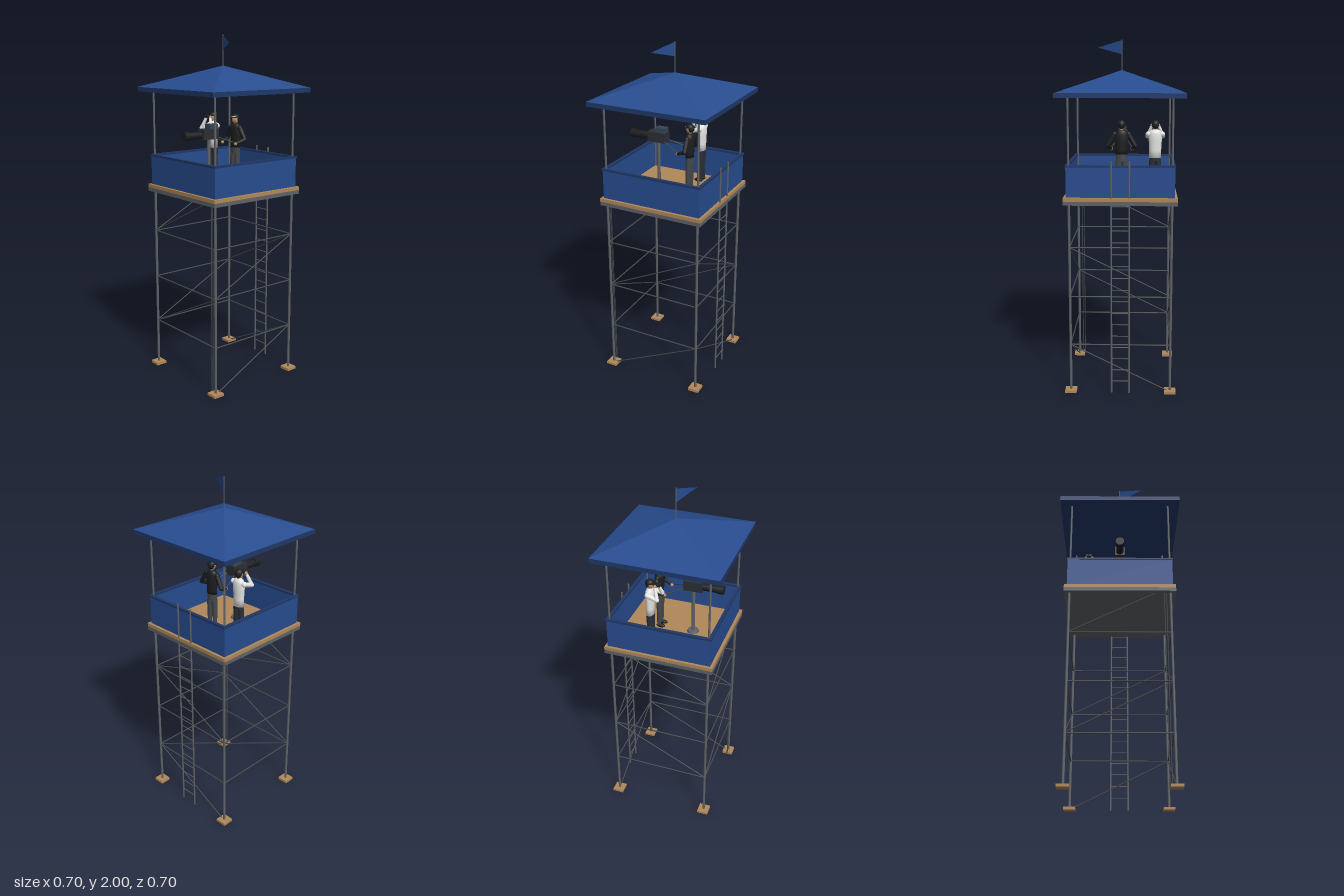
import * as THREE from 'three';

const mat = (name, color) => {
  const m = new THREE.MeshStandardMaterial({ color });
  m.name = name;
  return m;
};

export function createModel() {
  const blue = mat('blue', 0x284c8f), navy = mat('navy', 0x1f3868), wood = mat('wood', 0xb0885a);
  const steel = mat('steel', 0x606366), iron = mat('darkSteel', 0x46494c), black = mat('black', 0x1d1e20);
  const gunmetal = mat('gunmetal', 0x2b2f34), slate = mat('slate', 0x384656);
  const white = mat('white', 0xe6e6e4), skin = mat('skin', 0xc08e68);
  blue.side = THREE.DoubleSide;

  const model = new THREE.Group();
  model.name = 'watchtower';
  const V = (x, y, z) => new THREE.Vector3(x, y, z);
  const group = (name, parent = model) => {
    const g = new THREE.Group();
    g.name = name;
    parent.add(g);
    return g;
  };
  const add = (parent, name, geo, m, x = 0, y = 0, z = 0) => {
    const mesh = new THREE.Mesh(geo, m);
    mesh.name = name;
    mesh.position.set(x, y, z);
    parent.add(mesh);
    return mesh;
  };
  const box = (parent, name, m, w, h, d, x, y, z) =>
    add(parent, name, new THREE.BoxGeometry(w, h, d), m, x, y, z);
  // round bar from a to b, optionally tapered
  const rod = (parent, name, m, a, b, r, r2 = r, sides = 12) => {
    const dir = b.clone().sub(a);
    const mesh = add(parent, name, new THREE.CylinderGeometry(r2, r, dir.length(), sides), m);
    mesh.position.copy(a).add(b).multiplyScalar(0.5);
    mesh.quaternion.setFromUnitVectors(V(0, 1, 0), dir.normalize());
    return mesh;
  };
  const ball = (parent, name, m, p, rx, ry = rx, rz = rx) => {
    const mesh = add(parent, name, new THREE.SphereGeometry(1, 16, 10), m, p.x, p.y, p.z);
    mesh.scale.set(rx, ry, rz);
    return mesh;
  };

  // legs, footings and roof posts at the four corners
  const L = 0.285, floorY = 1.14, frame = group('frame');
  for (const x of [-L, L]) for (const z of [-L, L]) {
    box(frame, 'footing', wood, 0.066, 0.015, 0.066, x, 0.0075, z);
    rod(frame, 'leg', steel, V(x, 0.01, z), V(x, 1.11, z), 0.0075);
    rod(frame, 'roofPost', steel, V(x, 1.11, z), V(x, 1.69, z), 0.006);
  }

  // horizontal braces, and diagonals that alternate between opposite faces
  const step = 0.285;
  for (let i = 0; i < 4; i++) {
    const y = i * step, top = Math.min(y + step, 1.1);
    const end = -L + 2 * L * (top - y) / step;
    const s = i % 2 ? 1 : -1;
    rod(frame, 'diagonalBrace', iron, V(-L, y + 0.003, s * L), V(end, top, s * L), 0.0032);
    rod(frame, 'diagonalBrace', iron, V(-s * L, y + 0.003, L), V(-s * L, top, -end), 0.0032);
    if (i) for (const e of [-L, L]) {
      rod(frame, 'horizontalBrace', iron, V(-L, y, e), V(L, y, e), 0.004);
      rod(frame, 'horizontalBrace', iron, V(e, y, -L), V(e, y, L), 0.004);
    }
  }

  // pair of conduits beside one leg
  for (const x of [0.25, 0.262]) rod(frame, 'conduit', iron, V(x, 0, L), V(x, 1.11, L), 0.0025);

  // platform with parapet
  const platform = group('platform');
  box(platform, 'platformBase', steel, 0.63, 0.022, 0.63, 0, 1.109, 0);
  box(platform, 'deck', wood, 0.63, 0.02, 0.63, 0, 1.13, 0);
  for (const s of [-1, 1]) {
    box(platform, 'wall', blue, 0.6, 0.168, 0.01, 0, 1.224, s * 0.294);
    box(platform, 'wall', blue, 0.01, 0.168, 0.58, s * 0.294, 1.224, 0);
    box(platform, 'wallRail', navy, 0.606, 0.012, 0.018, 0, 1.312, s * 0.294);
    box(platform, 'wallRail', navy, 0.018, 0.012, 0.57, s * 0.294, 1.312, 0);
  }

  // ladder on the back
  const ladder = group('ladder');
  for (const x of [-0.05, 0.05]) rod(ladder, 'ladderRail', steel, V(x, 0.005, -0.31), V(x, 1.345, -0.31), 0.005);
  for (let i = 0; i < 16; i++) {
    const y = 0.075 + i * 0.0678;
    rod(ladder, 'rung', steel, V(-0.05, y, -0.31), V(0.05, y, -0.31), 0.0025);
  }

  // roof: eave slab and pyramid
  const roof = group('roof');
  box(roof, 'eave', navy, 0.704, 0.026, 0.704, 0, 1.695, 0);
  const pyramid = new THREE.ConeGeometry(0.352 * Math.SQRT2, 0.122, 4, 1, true).rotateY(Math.PI / 4).toNonIndexed();
  pyramid.computeVertexNormals();
  add(roof, 'roofSlopes', pyramid, blue, 0, 1.769, 0);

  // flag
  const flag = group('flag');
  rod(flag, 'flagpole', steel, V(0, 1.82, 0), V(0, 2, 0), 0.003);
  const cloth = new THREE.BufferGeometry().setFromPoints([V(0, 1.996, 0), V(0, 1.918, 0), V(0.142, 1.957, 0.07)]);
  cloth.computeVertexNormals();
  add(flag, 'pennant', cloth, blue);

  // mounted observation scope
  const scope = group('scope');
  scope.position.y = 1.445;
  rod(scope, 'pedestal', steel, V(0, floorY - 1.445, 0.105), V(0, -0.02, 0.105), 0.01);
  rod(scope, 'pedestalFoot', steel, V(0, floorY - 1.445, 0.105), V(0, floorY - 1.433, 0.105), 0.035, 0.03, 16);
  box(scope, 'scopeBody', gunmetal, 0.06, 0.058, 0.11, 0, 0.004, 0.107);
  box(scope, 'sightBox', slate, 0.045, 0.028, 0.06, 0, 0.046, 0.084);
  rod(scope, 'barrel', black, V(0, 0, 0.16), V(0, 0, 0.25), 0.021, 0.021, 16);
  rod(scope, 'barrelEnd', black, V(0, 0, 0.245), V(0, 0, 0.28), 0.025, 0.025, 16);
  for (const s of [-1, 1]) rod(scope, 'handle', iron, V(s * 0.025, -0.015, 0.06), V(s * 0.06, -0.052, -0.04), 0.003);

  // standing figure facing the front; hem is the jacket's lower edge, elbow and hand are the +x side points
  const person = (name, x, z, shirt, trousers, hem, elbow, hand) => {
    const p = group(name);
    p.position.set(x, floorY, z);
    const torso = [[0.001, hem], [0.034, hem], [0.034, 0.24], [0.037, 0.29], [0.04, 0.33], [0.03, 0.35], [0.012, 0.36], [0.001, 0.36]]
      .map(q => new THREE.Vector2(...q));
    add(p, 'torso', new THREE.LatheGeometry(torso, 16), shirt).scale.z = 0.65;
    rod(p, 'waist', trousers, V(0, 0.18, 0), V(0, hem, 0), 0.032, 0.032, 16).scale.z = 0.65;
    rod(p, 'neck', skin, V(0, 0.345, 0), V(0, 0.375, 0), 0.011);
    ball(p, 'head', skin, V(0, 0.382, 0.003), 0.019, 0.026, 0.021);
    ball(p, 'hair', black, V(0, 0.386, -0.006), 0.0205, 0.024, 0.02);
    const dome = new THREE.SphereGeometry(0.024, 16, 6, 0, Math.PI * 2, 0, Math.PI / 2);
    add(p, 'cap', dome, black, 0, 0.391, 0).scale.y = 0.9;
    rod(p, 'capBrim', black, V(0, 0.39, 0.012), V(0, 0.394, 0.012), 0.022, 0.022, 16);
    for (const s of [-1, 1]) {
      const m = v => V(s * v.x, v.y, v.z);
      const shoulder = m(V(0.04, 0.332, 0));
      rod(p, 'thigh', trousers, m(V(0.017, 0.185, 0)), m(V(0.02, 0.1, 0.002)), 0.018, 0.014);
      rod(p, 'shin', trousers, m(V(0.02, 0.1, 0.002)), m(V(0.021, 0.015, 0)), 0.0142, 0.011);
      ball(p, 'boot', black, m(V(0.021, 0.011, 0.01)), 0.013, 0.012, 0.026);
      ball(p, 'shoulder', shirt, shoulder, 0.0155);
      rod(p, 'upperArm', shirt, shoulder, m(elbow), 0.0145, 0.012);
      ball(p, 'elbow', shirt, m(elbow), 0.0122);
      rod(p, 'forearm', shirt, m(elbow), m(hand), 0.012, 0.008);
      ball(p, 'hand', skin, m(hand), 0.01);
    }
    return p;
  };
  const operator = person('scopeOperator', 0, -0.095, black, iron, 0.218, V(0.078, 0.268, -0.005), V(0.06, 0.245, 0.05));
  const lookout = person('lookout', -0.192, -0.08, white, gunmetal, 0.197, V(0.044, 0.315, 0.055), V(0.018, 0.382, 0.036));

  // light band around the operator's cap
  const band = new THREE.CylinderGeometry(0.0245, 0.0245, 0.006, 16, 1, true, -0.9, 1.8);
  add(operator, 'capBand', band, white, 0, 0.398, 0);

  // binoculars held to the eyes
  for (const s of [-1, 1]) {
    rod(lookout, 'binocularTube', black, V(s * 0.009, 0.388, 0.022), V(s * 0.01, 0.388, 0.062), 0.006, 0.009);
  }
  box(lookout, 'binocularBridge', black, 0.016, 0.006, 0.014, 0, 0.388, 0.04);

  return model;
}
